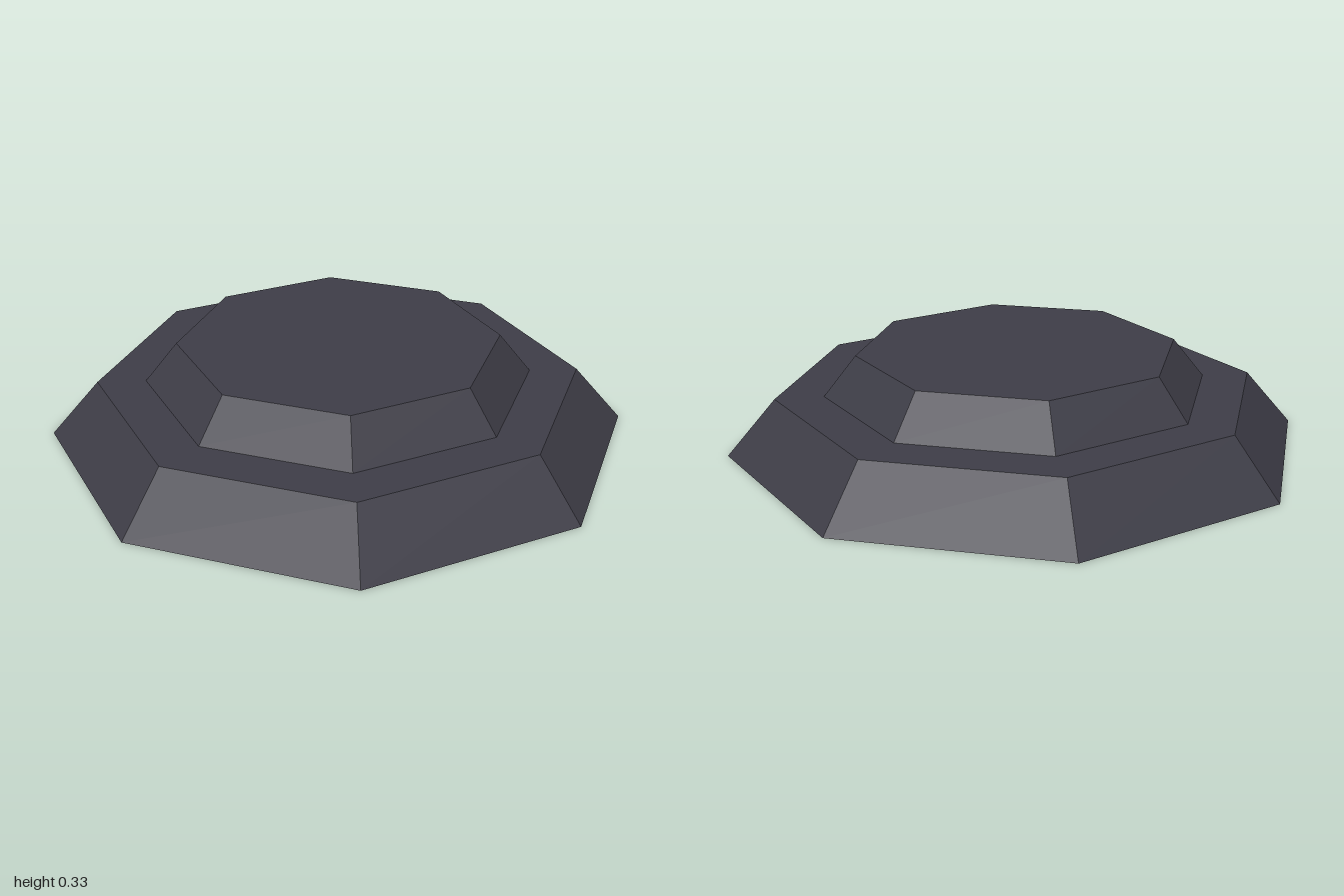
import * as THREE from 'three';

// Two-tiered octagonal plinth with sloping sides
export function createModel() {
  const group = new THREE.Group();
  group.name = 'octagonalPlinth';

  const darkStone = new THREE.MeshStandardMaterial({ color: 0x3e3d47, flatShading: true });
  darkStone.name = 'dark stone';

  const addTier = (name, topRadius, bottomRadius, y0, y1) => {
    const geometry = new THREE.CylinderGeometry(topRadius, bottomRadius, y1 - y0, 8);
    geometry.translate(0, (y0 + y1) / 2, 0);
    const mesh = new THREE.Mesh(geometry, darkStone);
    mesh.name = name;
    group.add(mesh);
  };

  addTier('lowerTier', 0.833, 1, 0, 0.194);
  addTier('upperTier', 0.556, 0.667, 0.194, 0.333);

  return group;
}
